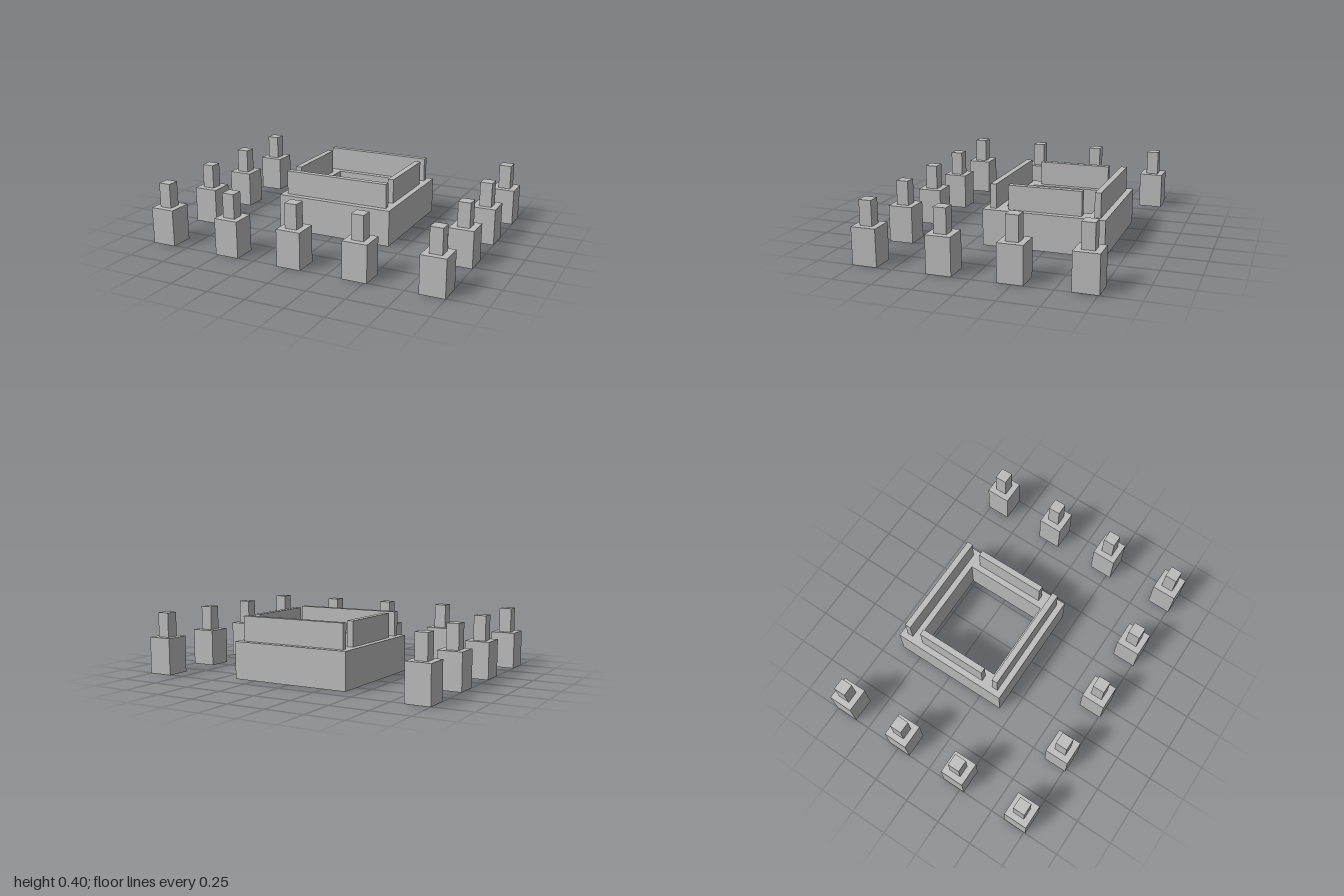
import * as THREE from 'three';

export function createModel() {
  const model = new THREE.Group();
  model.name = 'courtyard';
  const stone = new THREE.MeshStandardMaterial({ color: 0xbbbbbb });
  stone.name = 'grey stone';

  // Box standing on y
  const box = (parent, name, w, h, d, x, y, z) => {
    const mesh = new THREE.Mesh(new THREE.BoxGeometry(w, h, d), stone);
    mesh.name = name;
    mesh.position.set(x, y + h / 2, z);
    parent.add(mesh);
  };

  // Square base with an open shaft, and the walls on it
  const building = new THREE.Group();
  building.name = 'building';
  building.position.z = -0.24;
  model.add(building);

  const square = (Type, r) => new Type([[-r, -r], [r, -r], [r, r], [-r, r]].map(([x, y]) => new THREE.Vector2(x, y)));
  const outline = square(THREE.Shape, 0.4);
  outline.holes.push(square(THREE.Path, 0.28));
  const ring = new THREE.ExtrudeGeometry(outline, { depth: 0.24, bevelEnabled: false });
  ring.rotateX(-Math.PI / 2);
  const base = new THREE.Mesh(ring, stone);
  base.name = 'base';
  building.add(base);

  for (const s of [-1, 1]) {
    box(building, s > 0 ? 'frontWall' : 'backWall', 0.72, 0.16, 0.04, 0, 0.24, s * 0.34);
    box(building, s > 0 ? 'leftWall' : 'rightWall', 0.04, 0.16, 0.48, s * 0.34, 0.24, 0);
  }

  // Pillars along both sides and the front
  const spots = [[-0.44, 0.68], [0, 0.68], [0.44, 0.68]];
  for (const z of [-0.68, -0.24, 0.2, 0.68]) spots.push([-0.92, z], [0.92, z]);
  for (const [x, z] of spots) {
    const pillar = new THREE.Group();
    pillar.name = 'pillar';
    pillar.position.set(x, 0, z);
    box(pillar, 'pillarBlock', 0.16, 0.24, 0.16, 0, 0, 0);
    box(pillar, 'pillarPost', 0.08, 0.16, 0.08, 0, 0.24, 0);
    model.add(pillar);
  }
  return model;
}
